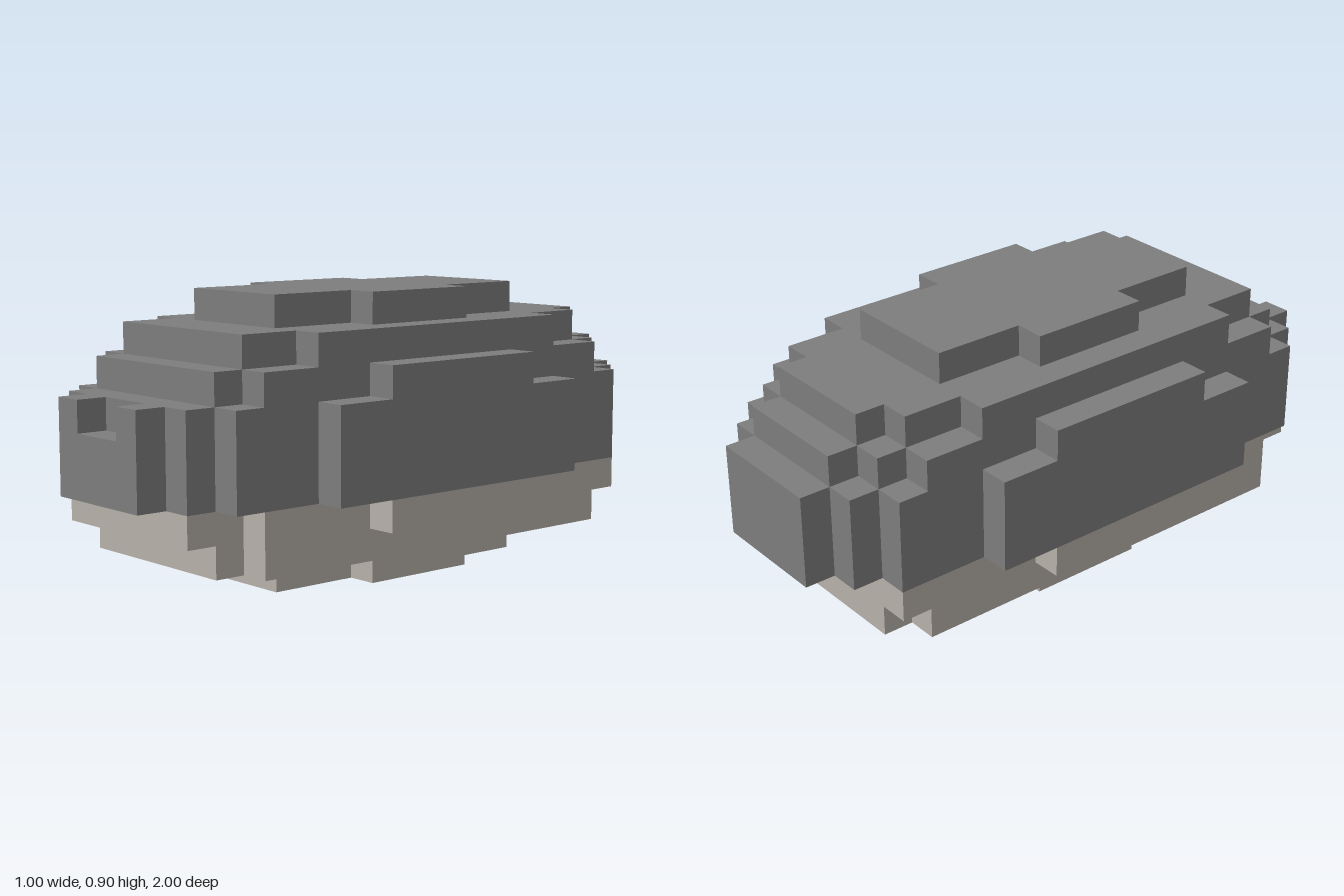
import * as THREE from 'three';

// Outline of one stepped slab. steps: [half width, back z, front z], narrow to wide.
function footprint(steps, notch = []) {
  const right = [];
  steps.forEach(([w, , zf], i) => {
    if (i > 0) right.push([steps[i - 1][0], zf]);
    right.push([w, zf]);
  });
  for (let i = steps.length - 1; i >= 0; i--) {
    const [w, zb] = steps[i];
    right.push([w, zb]);
    if (i > 0) right.push([steps[i - 1][0], zb]);
  }
  const left = right.map(([x, z]) => [-x, z]).reverse();
  return new THREE.Shape([...right, ...left, ...notch].map(([x, z]) => new THREE.Vector2(x, -z)));
}

export function createModel() {
  const stone = new THREE.MeshStandardMaterial({ color: 0x7d7d7d });
  stone.name = 'grey stone';
  const belly = new THREE.MeshStandardMaterial({ color: 0xb8b1a9 });
  belly.name = 'pale underside';

  const cap = [[0.2, -0.5, 0.5], [0.3, -0.2, 0.2]];
  const middle = [[0.2, -1, 1], [0.3, -0.9, 0.9], [0.4, -0.8, 0.8], [0.5, -0.5, 0.5]];
  const notch = [[-0.1, 1], [-0.1, 0.9], [0.1, 0.9], [0.1, 1]];

  // name, material, bottom, height, steps, front notch
  const layers = [
    ['bottomCap', belly, 0, 0.1, cap],
    ['lowerBelly', belly, 0.1, 0.1, [[0.3, -0.8, 0.8], [0.4, -0.7, 0.7]]],
    ['upperBelly', belly, 0.2, 0.1, [[0.3, -0.8, 0.9], [0.4, -0.8, 0.7], [0.5, -0.3, 0.3]]],
    ['middleBody', stone, 0.3, 0.2, middle],
    ['notchedBody', stone, 0.5, 0.1, middle, notch],
    ['shoulder', stone, 0.6, 0.1, [[0.2, -0.9, 0.8], [0.3, -0.8, 0.8], [0.4, -0.7, 0.7], [0.5, -0.3, 0.3]]],
    ['upperBack', stone, 0.7, 0.1, [[0.2, -0.8, 0.7], [0.3, -0.7, 0.7], [0.4, -0.5, 0.5]]],
    ['topCap', stone, 0.8, 0.1, cap],
  ];

  const group = new THREE.Group();
  group.name = 'blockBody';
  for (const [name, material, y, height, steps, cut] of layers) {
    const geometry = new THREE.ExtrudeGeometry(footprint(steps, cut), { depth: height, bevelEnabled: false });
    geometry.rotateX(-Math.PI / 2);
    const mesh = new THREE.Mesh(geometry, material);
    mesh.name = name;
    mesh.position.y = y;
    group.add(mesh);
  }
  return group;
}
